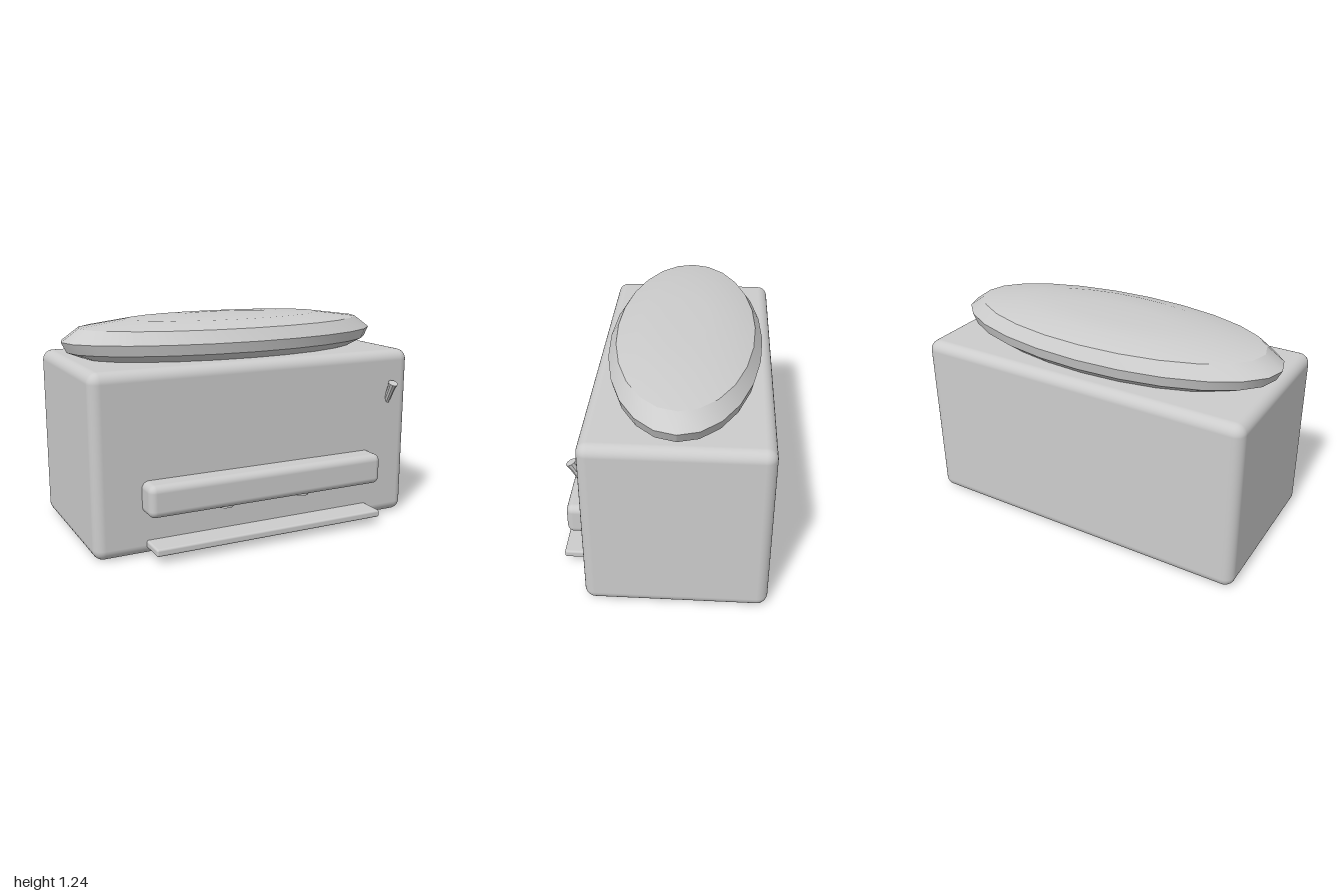
import * as THREE from 'three';
import { toCreasedNormals } from 'three/addons/utils/BufferGeometryUtils.js';
import { RoundedBoxGeometry } from 'three/addons/geometries/RoundedBoxGeometry.js';

const grey = new THREE.MeshStandardMaterial({ color: 0xcccccc });
grey.name = 'grey';

export function createModel() {
  const model = new THREE.Group();
  model.name = 'countertopMachine';

  const add = (name, geometry, x, y, z) => {
    const mesh = new THREE.Mesh(geometry, grey);
    mesh.name = name;
    mesh.position.set(x, y, z);
    model.add(mesh);
    return mesh;
  };

  // Rounded box given by its lower and upper limits in y and z
  const block = (name, width, y0, y1, z0, z1, radius) =>
    add(name, new RoundedBoxGeometry(width, y1 - y0, z1 - z0, 4, radius),
      0, (y0 + y1) / 2, (z0 + z1) / 2);

  // Turned shape from [radius, height] pairs, listed bottom to top
  const turned = (profile, sides) =>
    new THREE.LatheGeometry(profile.map(([r, y]) => new THREE.Vector2(r, y)), sides);

  // Housing, brew head and drip tray
  block('body', 1.995, 0.005, 1.02, -0.575, 0.42, 0.06);
  block('brewHead', 1.46, 0.245, 0.425, 0.3, 0.545, 0.04);
  block('dripTray', 1.42, 0.048, 0.09, 0.3, 0.575, 0.012);

  // Oval domed lid with a bevelled rim
  const lid = turned([
    [0, 1.0], [0.8, 1.0], [0.87, 1.02], [0.97, 1.06], [1, 1.12],
    [0.9, 1.19], [0.62, 1.228], [0.3, 1.237], [0, 1.24],
  ], 24);
  lid.scale(1, 1, 0.433);
  add('lid', toCreasedNormals(lid, 0.45), 0, 0, -0.08);

  // Spouts below the brew head
  for (const side of [-1, 1]) {
    const spout = new THREE.CylinderGeometry(0.045, 0.045, 0.06, 12);
    add(side > 0 ? 'leftSpout' : 'rightSpout', spout, side * 0.245, 0.25, 0.432);
  }

  // Flared switch lever leaning out of the front
  const lever = turned([
    [0, -0.17], [0.019, -0.17], [0.022, -0.06], [0.024, -0.03], [0.029, 0], [0, 0],
  ], 10);
  add('lever', toCreasedNormals(lever, 0.5), 0.853, 0.831, 0.465).rotation.x = 0.47;

  return model;
}
